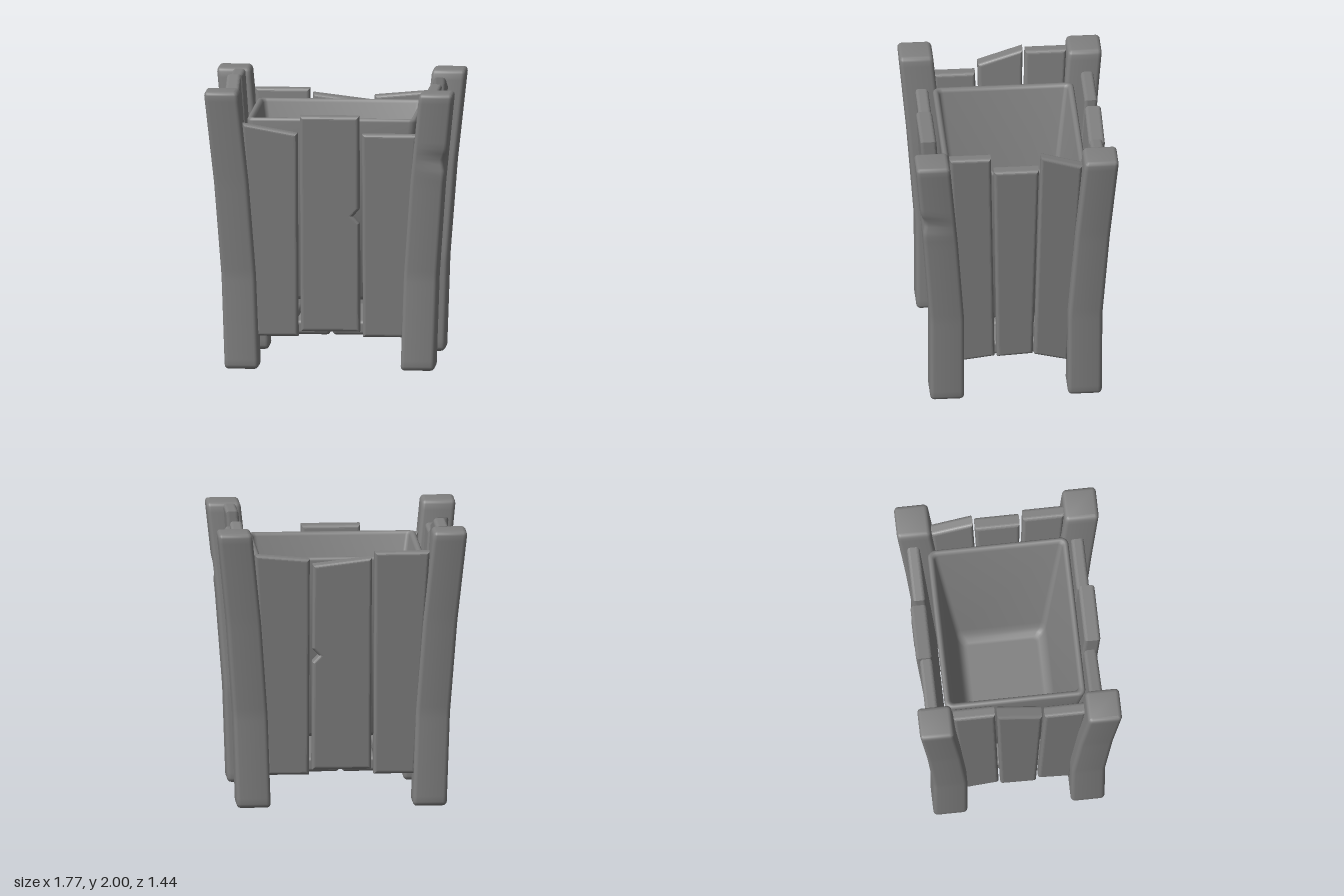
import * as THREE from 'three';
import { toCreasedNormals } from 'three/addons/utils/BufferGeometryUtils.js';
import { RoundedBoxGeometry } from 'three/addons/geometries/RoundedBoxGeometry.js';

const material = new THREE.MeshStandardMaterial({ color: 0x808080 });

function addMesh(parent, geometry, name) {
  const mesh = new THREE.Mesh(geometry, material);
  mesh.name = name;
  parent.add(mesh);
  return mesh;
}

// Moves every vertex of a geometry by a rule
function deform(geometry, crease, rule) {
  const p = geometry.attributes.position;
  const v = new THREE.Vector3();
  for (let i = 0; i < p.count; i++) {
    rule(v.fromBufferAttribute(p, i));
    p.setXYZ(i, v.x, v.y, v.z);
  }
  return toCreasedNormals(geometry, crease);
}

// Points of a rounded rectangle, counter-clockwise
function roundedRect(hx, hz, r, n = 4) {
  const points = [];
  [[1, 1], [-1, 1], [-1, -1], [1, -1]].forEach(([sx, sz], c) => {
    for (let i = 0; i <= n; i++) {
      const a = (c + i / n) * Math.PI / 2;
      points.push(new THREE.Vector2(sx * (hx - r) + r * Math.cos(a), sz * (hz - r) + r * Math.sin(a)));
    }
  });
  return points;
}

// Centre line of a post as [x, y, z]: three straight lengths, flaring upward
const FLARE = [[0.625, 0, 0.489], [0.648, 0.67, 0.492], [0.697, 1.34, 0.541], [0.767, 2.01, 0.602]];

// Square post that follows the flare
function postGeometry(sx, sz, dented) {
  const bevel = 0.03;
  const g = new THREE.ExtrudeGeometry(new THREE.Shape(roundedRect(0.121, 0.121, 0.03)), {
    depth: 2 - 2 * bevel, steps: 48, bevelThickness: bevel, bevelSize: bevel, bevelOffset: -bevel, bevelSegments: 3,
  });
  g.rotateX(-Math.PI / 2).translate(0, bevel, 0);
  return deform(g, 0.7, (v) => {
    if (dented && v.x + v.z > 0.19) {
      const d = 0.025 * Math.max(0, 1 - Math.abs(v.y - 1.51) / 0.08);
      v.x -= d;
      v.z -= d;
    }
    const t = THREE.MathUtils.clamp(v.y / 0.67, 0, 2.999);
    const a = FLARE[Math.floor(t)], b = FLARE[Math.floor(t) + 1];
    v.x += sx * THREE.MathUtils.lerp(a[0], b[0], t % 1);
    v.z += sz * THREE.MathUtils.lerp(a[2], b[2], t % 1);
  });
}

// Leaning board: outline in (across, up); low and high are its outer face at y = 0 and y = 2
function boardGeometry(outline, thickness, axis, sign, low, high) {
  const b = 0.024;
  const shape = new THREE.Shape(outline.map(([u, y]) => new THREE.Vector2(u, y)));
  const g = new THREE.ExtrudeGeometry(shape, {
    depth: thickness - 2 * b, bevelThickness: b, bevelSize: b, bevelOffset: -b, bevelSegments: 5,
  });
  g.translate(0, 0, b - thickness / 2);
  if (axis === 'x') g.rotateY(-Math.PI / 2);
  return deform(g, 0.12, (v) => {
    v[axis] += sign * (low + (high - low) * v.y / 2 - thickness / 2);
  });
}

// Skin through rounded rectangle rings [half x, half z, radius, y]
function loftGeometry(rings) {
  const pos = [], index = [];
  for (const [hx, hz, r, y] of rings) {
    for (const p of roundedRect(hx, hz, r)) pos.push(p.x, y, p.y);
  }
  const n = pos.length / 3 / rings.length;
  for (let i = 0; i < rings.length - 1; i++) {
    for (let j = 0; j < n; j++) {
      const a = i * n + j, c = i * n + (j + 1) % n;
      index.push(a, a + n, c, c, a + n, c + n);
    }
  }
  const g = new THREE.BufferGeometry();
  g.setAttribute('position', new THREE.Float32BufferAttribute(pos, 3));
  g.setIndex(index);
  return toCreasedNormals(g, 0.8);
}

export function createModel() {
  const model = new THREE.Group();
  model.name = 'woodenPlanter';

  // Corner posts, one with a dent
  const posts = new THREE.Group();
  posts.name = 'cornerPosts';
  for (const sx of [-1, 1]) {
    for (const sz of [-1, 1]) {
      const name = (sz > 0 ? 'front' : 'back') + (sx > 0 ? 'Left' : 'Right') + 'Post';
      addMesh(posts, postGeometry(sx, sz, sx > 0 && sz > 0), name);
    }
  }
  model.add(posts);

  // Front and back boards; side tops are [outer, inner] heights, middle tops [-x, +x]
  const faces = [
    { name: 'front', sign: 1, left: [1.69, 1.69], right: [1.76, 1.69], mid: [1.82, 1.82], low: 0.50, high: 0.627 },
    { name: 'back', sign: -1, left: [1.835, 1.80], right: [1.845, 1.845], mid: [1.81, 1.76], low: 0.53, high: 0.668 },
  ];
  for (const f of faces) {
    const group = new THREE.Group();
    group.name = f.name + 'Boards';
    addMesh(group, boardGeometry([[0.23, 0.225], [0.525, 0.225], [0.622, f.left[0]], [0.23, f.left[1]]],
      0.092, 'z', f.sign, f.low, f.high), f.name + 'LeftBoard');
    addMesh(group, boardGeometry([[-0.525, 0.225], [-0.23, 0.225], [-0.23, f.right[1]], [-0.622, f.right[0]]],
      0.092, 'z', f.sign, f.low, f.high), f.name + 'RightBoard');
    // Middle board with a nick in its edge
    addMesh(group, boardGeometry([[-0.21, 0.265], [0.21, 0.265], [0.21, 1.05], [0.165, 1.1], [0.21, 1.15],
      [0.21, f.mid[1]], [-0.21, f.mid[0]]], 0.115, 'z', f.sign, f.low + 0.024, f.high + 0.024), f.name + 'MiddleBoard');
    model.add(group);
  }

  // Side boards; tops are [towards back, towards front]
  const sides = [
    { name: 'left', sign: 1, tops: [[1.90, 1.99], [1.89, 1.89], [1.995, 1.995]] },
    { name: 'right', sign: -1, tops: [[1.995, 1.995], [2.0, 1.90], [1.84, 1.84]] },
  ];
  const spans = [
    // bottom back, bottom front, top front, top back, and the two bottom heights
    [-0.375, -0.135, -0.175, -0.47, 0.225, 0.285],
    [-0.125, 0.13, 0.16, -0.16, 0.305, 0.29],
    [0.145, 0.38, 0.475, 0.18, 0.285, 0.255],
  ];
  for (const s of sides) {
    const group = new THREE.Group();
    group.name = s.name + 'SideBoards';
    spans.forEach(([b0, b1, t1, t0, y0, y1], i) => {
      const out = i === 1 ? 0.02 : 0;
      addMesh(group, boardGeometry([[b0, y0], [b1, y1], [t1, s.tops[i][1]], [t0, s.tops[i][0]]],
        0.09 + out / 2, 'x', s.sign, 0.622 + out, 0.77 + out), s.name + 'SideBoard' + (i + 1));
    });
    model.add(group);
  }

  // Floor slats running front to back
  const slats = new THREE.Group();
  slats.name = 'floorSlats';
  for (let i = 0; i < 4; i++) {
    addMesh(slats, new RoundedBoxGeometry(0.25, 0.105, 0.86, 4, 0.028), 'floorSlat' + (i + 1))
      .position.set((i - 1.5) * 0.265, 0.278, -0.012);
  }
  model.add(slats);

  // Tapered inner bucket: underside, outer wall, rounded rim, inner wall, floor
  const bucket = addMesh(model, loftGeometry([
    [0, 0, 0, 0.46], [0.37, 0.29, 0.04, 0.46], [0.40, 0.32, 0.04, 0.465], [0.43, 0.35, 0.05, 0.49],
    [0.602, 0.502, 0.05, 1.762], [0.599, 0.499, 0.048, 1.776], [0.59, 0.49, 0.045, 1.785],
    [0.575, 0.475, 0.035, 1.785], [0.563, 0.463, 0.03, 1.776], [0.556, 0.456, 0.03, 1.76],
    [0.405, 0.325, 0.04, 0.6], [0.392, 0.312, 0.04, 0.55], [0.37, 0.29, 0.04, 0.515],
    [0.34, 0.265, 0.03, 0.50], [0.32, 0.245, 0.03, 0.50], [0, 0, 0, 0.50],
  ]), 'innerBucket');
  bucket.position.set(0.005, 0, -0.01);

  return model;
}
